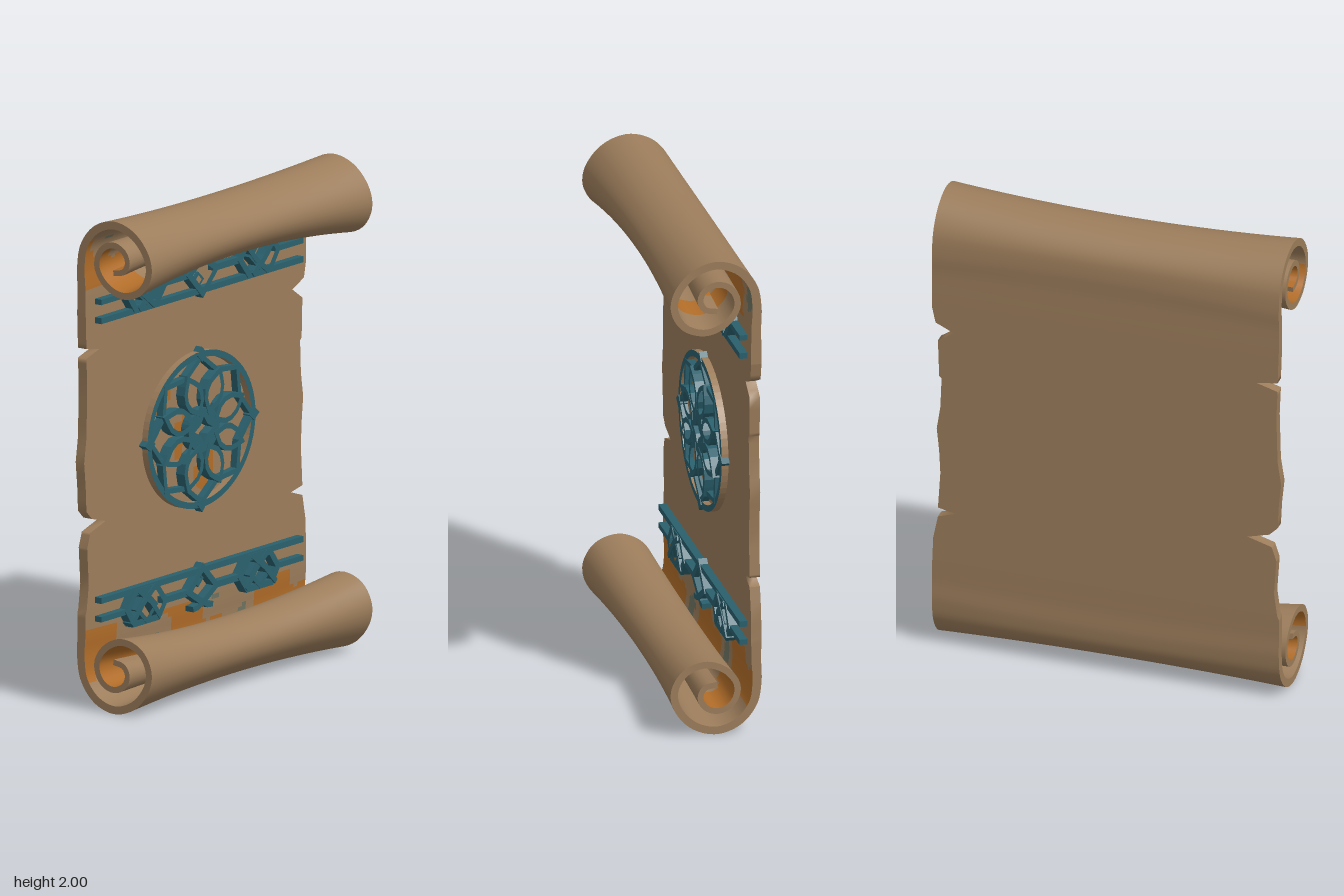
import * as THREE from 'three';
import { mergeGeometries } from 'three/addons/utils/BufferGeometryUtils.js';

const mat = (name, color, side = THREE.FrontSide) =>
  Object.assign(new THREE.MeshStandardMaterial({ color, side }), { name });

// Planar artwork uses (u, y) with u = -z; it is raised towards +x.
const SHEET_FACE = -0.142;

// piecewise-linear lookup in [[y, value], ...]
function lookup(table, y) {
  if (y <= table[0][0]) return table[0][1];
  for (let i = 1; i < table.length; i++) {
    const [y0, v0] = table[i - 1], [y1, v1] = table[i];
    if (y <= y1) return v0 + (v1 - v0) * (y - y0) / (y1 - y0);
  }
  return table[table.length - 1][1];
}

// torn outlines of the two long edges
const LEFT_EDGE = [[0.35, -0.72], [0.5, -0.7], [0.65, -0.71], [0.71, -0.69], [0.74, -0.59], [0.765, -0.68], [0.8, -0.715],
  [0.9, -0.72], [1, -0.73], [1.1, -0.715], [1.3, -0.71], [1.42, -0.715], [1.445, -0.63], [1.46, -0.715], [1.6, -0.72]];
const RIGHT_EDGE = [[0.35, 0.72], [0.5, 0.715], [0.6, 0.695], [0.625, 0.62], [0.64, 0.695], [0.8, 0.685], [0.9, 0.69],
  [1, 0.7], [1.1, 0.685], [1.23, 0.68], [1.24, 0.69], [1.4, 0.695], [1.445, 0.63], [1.48, 0.705], [1.55, 0.72]];

// centreline of the parchment: coil, flat sheet, coil
function sheetRows() {
  const spiral = new THREE.CatmullRomCurve3([
    [-0.163, 1.6], [-0.163, 1.7], [-0.166, 1.79], [-0.15, 1.88], [-0.09, 1.953], [0, 1.982], [0.095, 1.95], [0.16, 1.87],
    [0.168, 1.8], [0.125, 1.73], [0.04, 1.702], [-0.04, 1.733], [-0.085, 1.795], [-0.08, 1.85], [-0.045, 1.89],
    [0.005, 1.9], [0.05, 1.875], [0.064, 1.835], [0.045, 1.8], [-0.005, 1.788],
  ].map(([x, y]) => new THREE.Vector3(x, y, 0))).getSpacedPoints(90);
  const roll = spiral.map((p, i) => ({ x: p.x, y: p.y, t: i / 90 }));
  const ys = new Set([...LEFT_EDGE, ...RIGHT_EDGE].map(e => e[0]).filter(y => y > 0.41 && y < 1.59));
  for (let i = 1; i < 24; i++) ys.add(0.4 + i * 0.05);
  const flat = [...ys].filter(y => y < 1.59).sort((a, b) => a - b).map(y => ({ x: -0.163, y, t: 0 }));
  const low = roll.map(r => ({ ...r, y: 2 - r.y })).reverse();
  return [...low, ...flat, ...roll];
}

// surface through a grid of points, with a material index per cell
function gridSurface(points, pick = () => 0) {
  const cols = points[0].length, buckets = [[], [], []];
  for (let i = 0; i < points.length - 1; i++) for (let j = 0; j < cols - 1; j++) {
    const a = i * cols + j, d = a + cols;
    buckets[pick(i, j)].push(a, a + 1, d + 1, a, d + 1, d);
  }
  const g = new THREE.BufferGeometry();
  g.setAttribute('position', new THREE.Float32BufferAttribute(points.flat().flatMap(p => p.toArray()), 3));
  g.setIndex(buckets.flat());
  let start = 0;
  buckets.forEach((b, m) => { if (b.length) g.addGroup(start, b.length, m); start += b.length; });
  g.computeVertexNormals();
  return g;
}

function buildParchment(mats) {
  const group = new THREE.Group();
  group.name = 'parchment';
  const rows = sheetRows(), COLS = 56, front = [], back = [];
  rows.forEach((r, i) => {
    const p = rows[Math.max(i - 1, 0)], q = rows[Math.min(i + 1, rows.length - 1)];
    const len = Math.hypot(q.x - p.x, q.y - p.y), nx = (q.y - p.y) / len, ny = -(q.x - p.x) / len;
    const half = (r.t < 0.2 ? 0.042 - r.t * 0.04 : 0.034 - (r.t - 0.2) * 0.014) / 2;
    const w = THREE.MathUtils.smoothstep(r.t, 0, 0.18), top = r.y > 1;
    const u0 = r.t ? -0.72 : lookup(LEFT_EDGE, r.y), u1 = r.t ? 0.72 : lookup(RIGHT_EDGE, r.y);
    const make = s => Array.from({ length: COLS + 1 }, (_, j) => {
      const u = u0 + (u1 - u0) * j / COLS;
      // rolls pinch in towards the middle
      const k = w * (1 - (u / 0.72) ** 2);
      let x = r.x + nx * half * s, y = r.y + ny * half * s;
      x = -0.185 + (x + 0.185) * (1 - 0.08 * k);
      const c = top ? 1.89 : 0.11;
      y = c + (y - c) * (1 - 0.24 * k);
      return new THREE.Vector3(x, y, -u);
    });
    front.push(make(1));
    back.push(make(-1));
  });

  // worn pigment on the inner face
  const stain = (i, j) => {
    const { y, t } = rows[i], u = (j / COLS - 0.5) * 1.44;
    const n = Math.sin(u * 11 + y * 9) + Math.sin(u * 23 - y * 17 + 1.3) * 0.6;
    if (t > 0.06 && t < 0.22) return n > -0.1 ? 1 : n < -1.2 ? 2 : 0;
    if (t > 0.5) return Math.abs(u) > 0.45 && n > -0.2 ? 1 : 0;
    if (!t && Math.hypot(u, (y - 1) * 1.12) < 0.29) return n > 0.95 ? 1 : 0;
    return 0;
  };
  const add = (name, geo) => {
    const m = new THREE.Mesh(geo, mats);
    m.name = name;
    group.add(m);
  };
  const last = rows.length - 1;
  add('innerFace', gridSurface(front, stain));
  add('outerFace', gridSurface(back.map(r => [...r].reverse())));
  add('rightTornEdge', gridSurface(front.map((r, i) => [r[COLS], back[i][COLS]])));
  add('leftTornEdge', gridSurface(front.map((r, i) => [back[i][0], r[0]])));
  add('topCoilEnd', gridSurface([front[last], back[last]]));
  add('bottomCoilEnd', gridSurface([back[0], front[0]]));
  return group;
}

// raised shape standing on the sheet
function raise(shape, height) {
  return new THREE.ExtrudeGeometry(shape, { depth: height + 0.01, bevelEnabled: false, curveSegments: 24 })
    .rotateY(Math.PI / 2).translate(SHEET_FACE - 0.01, 0, 0);
}

// line of constant width through points [u, y]
function stroke(pts, width, height, closed = false) {
  const v = pts.map(p => new THREE.Vector2(...p)), n = v.length;
  const side = s => v.map((p, i) => {
    const a = closed ? v[(i + n - 1) % n] : v[Math.max(i - 1, 0)];
    const b = closed ? v[(i + 1) % n] : v[Math.min(i + 1, n - 1)];
    let d1 = p.clone().sub(a).normalize(), d2 = b.clone().sub(p).normalize();
    if (!d1.length()) d1 = d2;
    if (!d2.length()) d2 = d1;
    const m = new THREE.Vector2(-d1.y - d2.y, d1.x + d2.x).normalize();
    const miter = Math.min(1 / Math.max(m.dot(new THREE.Vector2(-d1.y, d1.x)), 0.1), 2.2);
    return p.clone().addScaledVector(m, s * miter * width / 2);
  });
  if (!closed) return raise(new THREE.Shape([...side(1), ...side(-1).reverse()]), height);
  let outer = side(1), inner = side(-1);
  if (Math.abs(THREE.ShapeUtils.area(outer)) < Math.abs(THREE.ShapeUtils.area(inner))) [outer, inner] = [inner, outer];
  const shape = new THREE.Shape(outer);
  shape.holes.push(new THREE.Path(inner));
  return raise(shape, height);
}

function buildMedallion(teal, tan) {
  const group = new THREE.Group();
  group.name = 'medallion';
  const add = (name, geos, mats) => {
    const m = new THREE.Mesh(mergeGeometries(geos), mats);
    m.name = name;
    group.add(m);
  };
  const at = (r, a, w = 0) => [r * Math.cos(a) - w * Math.sin(a), 1.003 + 0.895 * (r * Math.sin(a) + w * Math.cos(a))];
  const step = Math.PI / 4;

  // oval ring
  const circle = Array.from({ length: 64 }, (_, i) => at(0.339, i * Math.PI / 32));
  const ring = stroke(circle, 0.026, 0.028, true);
  ring.clearGroups();
  const ringMesh = new THREE.Mesh(stroke(circle, 0.026, 0.028, true), [teal, tan]);
  ringMesh.name = 'ring';
  group.add(ringMesh);

  // star lattice inside the ring
  const zigzag = Array.from({ length: 16 }, (_, i) => at(i % 2 ? 0.268 : 0.33, i * step / 2));
  add('starLattice', [stroke(zigzag, 0.02, 0.03, true)], teal);

  // eight petals
  const half = [[0.13, 0.04], [0.17, 0.05], [0.21, 0.042], [0.24, 0.022]];
  const outline = [[0.085, 0], ...half, [0.268, 0], ...half.map(([r, w]) => [r, -w]).reverse()];
  add('petals', Array.from({ length: 8 }, (_, i) =>
    stroke(outline.map(([r, w]) => at(r, (i + 0.5) * step, w)), 0.021, 0.042, true)), teal);

  // hub with a star opening
  const pts = (n, f) => Array.from({ length: n }, (_, i) => new THREE.Vector2(...at(f(i), i * 2 * Math.PI / n)));
  const hub = new THREE.Shape(pts(32, () => 0.1));
  hub.holes.push(new THREE.Path(pts(8, i => (i % 2 ? 0.032 : 0.06))));
  add('hub', [raise(hub, 0.04)], teal);

  // four points on the ring
  add('ringPoints', [0, 1, 2, 3].map(i => {
    const a = i * Math.PI / 2;
    return raise(new THREE.Shape([[0.374, 0], [0.338, 0.03], [0.305, 0], [0.338, -0.03]]
      .map(([r, w]) => new THREE.Vector2(...at(r, a, w)))), 0.032);
  }), teal);
  return group;
}

// knotwork border; flip mirrors it to the lower end
function buildBorder(name, flip, teal) {
  const geos = [];
  const line = (pts, width, height, closed) =>
    geos.push(stroke(pts.map(([u, y]) => [u, flip ? 2 - y : y]), width, height, closed));
  line([[-0.66, 1.567], [0.66, 1.567]], 0.024, 0.032);
  for (const s of [-1, 1]) {
    const k = pts => pts.map(([u, y]) => [s * u, y]);
    line(k([[0.08, 1.643], [0.25, 1.643]]), 0.026, 0.032);
    line(k([[0.48, 1.643], [0.66, 1.643]]), 0.022, 0.032);
    // hexagonal knot with crossing strands
    line(k([[0.245, 1.643], [0.29, 1.7], [0.45, 1.7], [0.49, 1.643], [0.44, 1.575], [0.3, 1.575]]), 0.026, 0.036, true);
    line(k([[0.28, 1.7], [0.34, 1.63], [0.42, 1.57]]), 0.022, 0.04);
    line(k([[0.47, 1.7], [0.4, 1.63], [0.32, 1.57]]), 0.022, 0.042);
    line(k([[0.37, 1.7], [0.43, 1.645], [0.37, 1.59], [0.31, 1.645]]), 0.018, 0.038, true);
    // hooked tip above the centre diamond
    line(k([[-0.015, 1.685], [0.03, 1.712], [0.065, 1.715]]), 0.022, 0.036);
  }
  line([[-0.088, 1.643], [0, 1.698], [0.088, 1.643], [0, 1.555]], 0.026, 0.036, true);
  line([[-0.03, 1.605], [0, 1.632], [0.03, 1.605], [0, 1.58]], 0.01, 0.012, true);
  const m = new THREE.Mesh(mergeGeometries(geos), teal);
  m.name = name;
  return m;
}

export function createModel() {
  const tan = mat('parchment tan', 0x9c7d5b, THREE.DoubleSide);
  const orange = mat('worn orange', 0xb06c28, THREE.DoubleSide);
  const stainTeal = mat('faded teal', 0x6f7462, THREE.DoubleSide);
  const teal = mat('ornament teal', 0x2a606d);
  const model = new THREE.Group();
  model.name = 'scroll';
  model.add(buildParchment([tan, orange, stainTeal]), buildMedallion(teal, tan),
    buildBorder('upperBorder', false, teal), buildBorder('lowerBorder', true, teal));
  return model;
}
